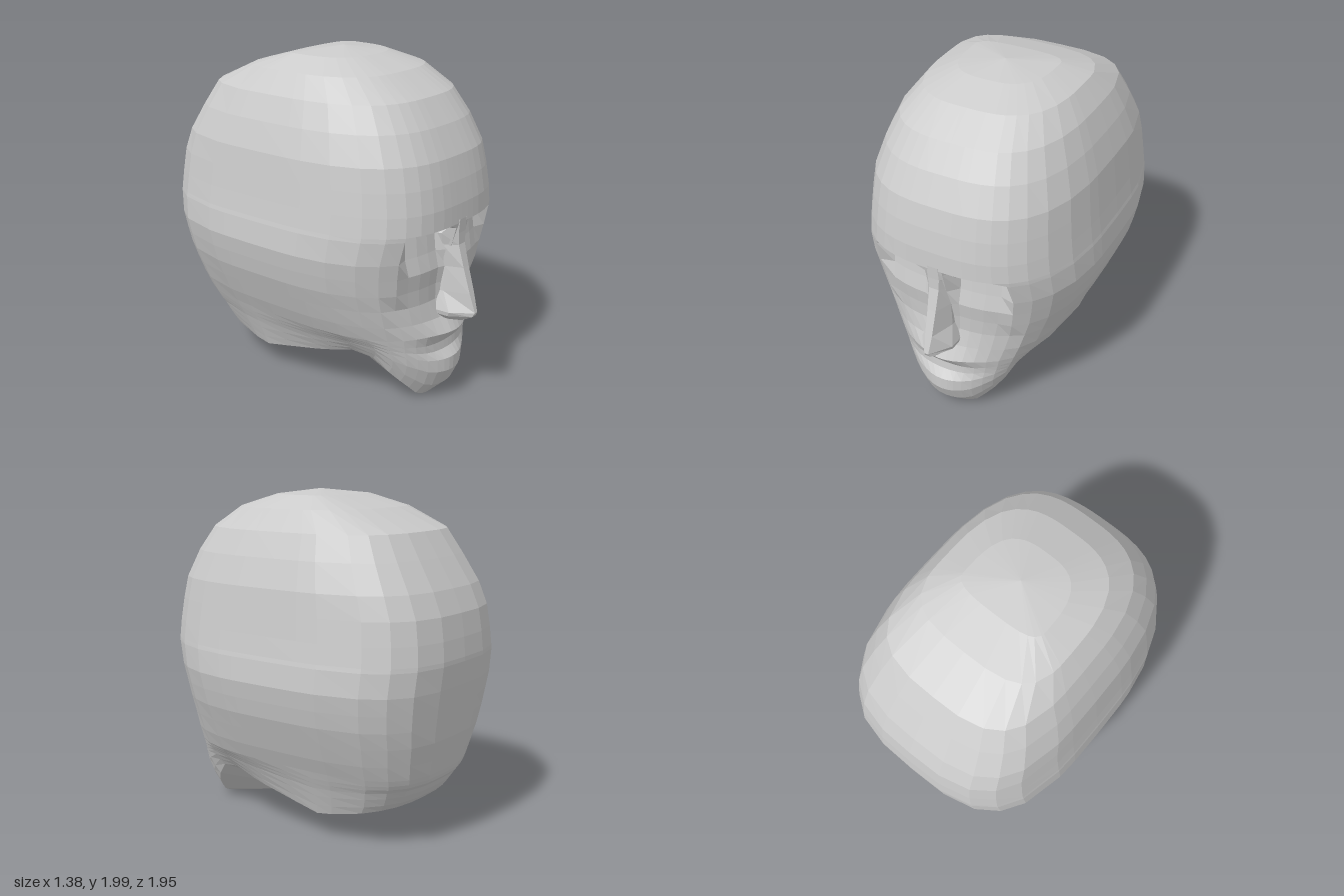
import * as THREE from 'three';

const material = new THREE.MeshStandardMaterial({ color: 0xcccccc, flatShading: true, side: THREE.DoubleSide });

// Rows from crown to jaw: height, front z, back z, half width, eye/cheek hollow, lip/chin bulge
const ROWS = [
  [1.97, 0.24, -0.2, 0.27, 0, 0],
  [1.9, 0.45, -0.44, 0.43, 0, 0],
  [1.78, 0.63, -0.7, 0.52, 0, 0],
  [1.64, 0.73, -0.79, 0.58, 0, 0],
  [1.48, 0.81, -0.89, 0.63, 0, 0],
  [1.35, 0.84, -0.945, 0.645, 0, 0],
  [1.22, 0.86, -0.965, 0.66, 0, 0],
  [1.11, 0.865, -0.975, 0.675, 0, 0],
  [1.085, 0.86, -0.975, 0.68, 0.11, 0],
  [0.95, 0.825, -0.96, 0.69, 0.06, 0],
  [0.85, 0.805, -0.945, 0.67, 0.02, 0],
  [0.75, 0.79, -0.93, 0.645, 0.02, 0],
  [0.65, 0.785, -0.915, 0.605, 0.02, 0],
  [0.54, 0.785, -0.89, 0.56, 0.01, 0.02],
  [0.45, 0.785, -0.87, 0.515, 0, 0.065],
  [0.38, 0.78, -0.86, 0.495, 0, 0.015],
  [0.33, 0.775, -0.85, 0.48, 0, 0.025],
  [0.28, 0.77, -0.83, 0.465, 0, 0.07],
  [0.2, 0.76, -0.81, 0.445, 0, 0.08],
  [0.1, 0.73, -0.78, 0.42, 0, 0.06],
  [0.015, 0.69, -0.74, 0.4, 0, 0.01],
];
const RIM = ROWS[ROWS.length - 1];
// Half-ring columns as fractions of the half width, centre outward
const FRONT = [0, 0.08, 0.16, 0.26, 0.38, 0.5, 0.62, 0.74, 0.85, 0.94, 0.985, 0.995, 1];
const BACK = [0.997, 0.985, 0.9, 0.78, 0.6, 0.32, 0];
const MID_Z = -0.1;
const LOWER = 0.45;

// Height of the open lower rim along z: chin, jaw corner, neck side, nape
const FLOOR = [[0.69, 0.015], [0.66, 0.12], [0.6, 0.2], [0.47, 0.34], [0.17, 0.26], [-0.27, 0.16], [-0.54, 0.21], [-0.75, 0.26]];
function floorAt(z) {
  const i = FLOOR.findIndex(([fz]) => z >= fz);
  if (i === 0) return FLOOR[0][1];
  const [z0, y0] = FLOOR[i - 1], [z1, y1] = FLOOR[i];
  return y0 + (y1 - y0) * (z0 - z) / (z0 - z1);
}

function mirrorRing(half) {
  const other = half.slice(1, -1).reverse().map(([x, y, z]) => [-x, y, z]);
  return [...half, ...other];
}

function headRing([y, front, back, width, hollow, bulge]) {
  const t = Math.max(0, (LOWER - y) / (LOWER - RIM[0]));
  const place = (f, isFront) => {
    const depthAt = n => Math.pow(Math.max(0, 1 - Math.pow(f, n)), 1 / n);
    const x = f * width;
    let z = MID_Z + depthAt(isFront ? 3 + 0.4 * t : 3.3) * ((isFront ? front : back) - MID_Z);
    if (isFront) {
      if (x > 0.075 && x < 0.38) z -= hollow;
      z += bulge * Math.exp(-Math.pow(x / 0.18, 2));
    }
    // Below the mouth, rows spread between a level line and the sloping rim
    const rimZ = MID_Z + depthAt(isFront ? 3.4 : 3.3) * (RIM[isFront ? 1 : 2] - MID_Z);
    return [x, t > 0 ? LOWER + (floorAt(rimZ) - LOWER) * t : y, z];
  };
  return mirrorRing([...FRONT.map(f => place(f, true)), ...BACK.map(f => place(f, false))]);
}

// Skin joining equal rings from top to bottom, closed by optional end points
function loft(name, rings, top, bottom) {
  const n = rings[0].length, points = rings.flat(), index = [];
  for (let r = 0; r < rings.length - 1; r++) {
    for (let c = 0; c < n; c++) {
      const a = r * n + c, d = r * n + (c + 1) % n;
      index.push(a, a + n, d + n, a, d + n, d);
    }
  }
  const last = (rings.length - 1) * n;
  if (top) {
    points.push(top);
    for (let c = 0; c < n; c++) index.push(points.length - 1, c, (c + 1) % n);
  }
  if (bottom) {
    points.push(bottom);
    for (let c = 0; c < n; c++) index.push(points.length - 1, last + (c + 1) % n, last + c);
  }
  return solid(name, points, index);
}

function solid(name, points, index) {
  const geometry = new THREE.BufferGeometry();
  geometry.setAttribute('position', new THREE.Float32BufferAttribute(points.flat(), 3));
  geometry.setIndex(index);
  geometry.computeVertexNormals();
  const mesh = new THREE.Mesh(geometry, material);
  mesh.name = name;
  return mesh;
}

export function createModel() {
  const group = new THREE.Group();
  group.name = 'head';

  // Skull and face, a shell open at the neck
  const rings = ROWS.map(headRing);
  group.add(loft('skullAndFace', rings, [0, 2, 0.02]));

  // Nose: height, base half width, ridge half width, wing z, ridge z
  const nose = [
    [1.13, 0.05, 0.03, 0.855, 0.868],
    [1.05, 0.1, 0.035, 0.79, 0.865],
    [0.98, 0.085, 0.03, 0.79, 0.865],
    [0.85, 0.07, 0.026, 0.8, 0.9],
    [0.7, 0.075, 0.022, 0.8, 0.945],
    [0.59, 0.105, 0.012, 0.86, 0.978],
    [0.565, 0.1, 0.02, 0.85, 0.965],
    [0.53, 0.06, 0.025, 0.83, 0.9],
  ].map(([y, w, r, zw, zf]) => [
    [-w, y, 0.75], [-w * 0.95, y, zw], [-r, y, zf], [r, y, zf], [w * 0.95, y, zw], [w, y, 0.75],
  ]);
  group.add(loft('nose', nose, null, [0, 0.52, 0.8]));

  // Underside of the jaw, fanned from the throat to the front of the rim
  const rim = rings[rings.length - 1].filter(([, , z]) => z > 0.1).sort((a, b) => a[0] - b[0]);
  const fan = rim.slice(1).flatMap((p, i) => [0, i + 2, i + 1]);
  group.add(solid('underJaw', [[0, 0.13, 0.07], ...rim], fan));
  return group;
}
